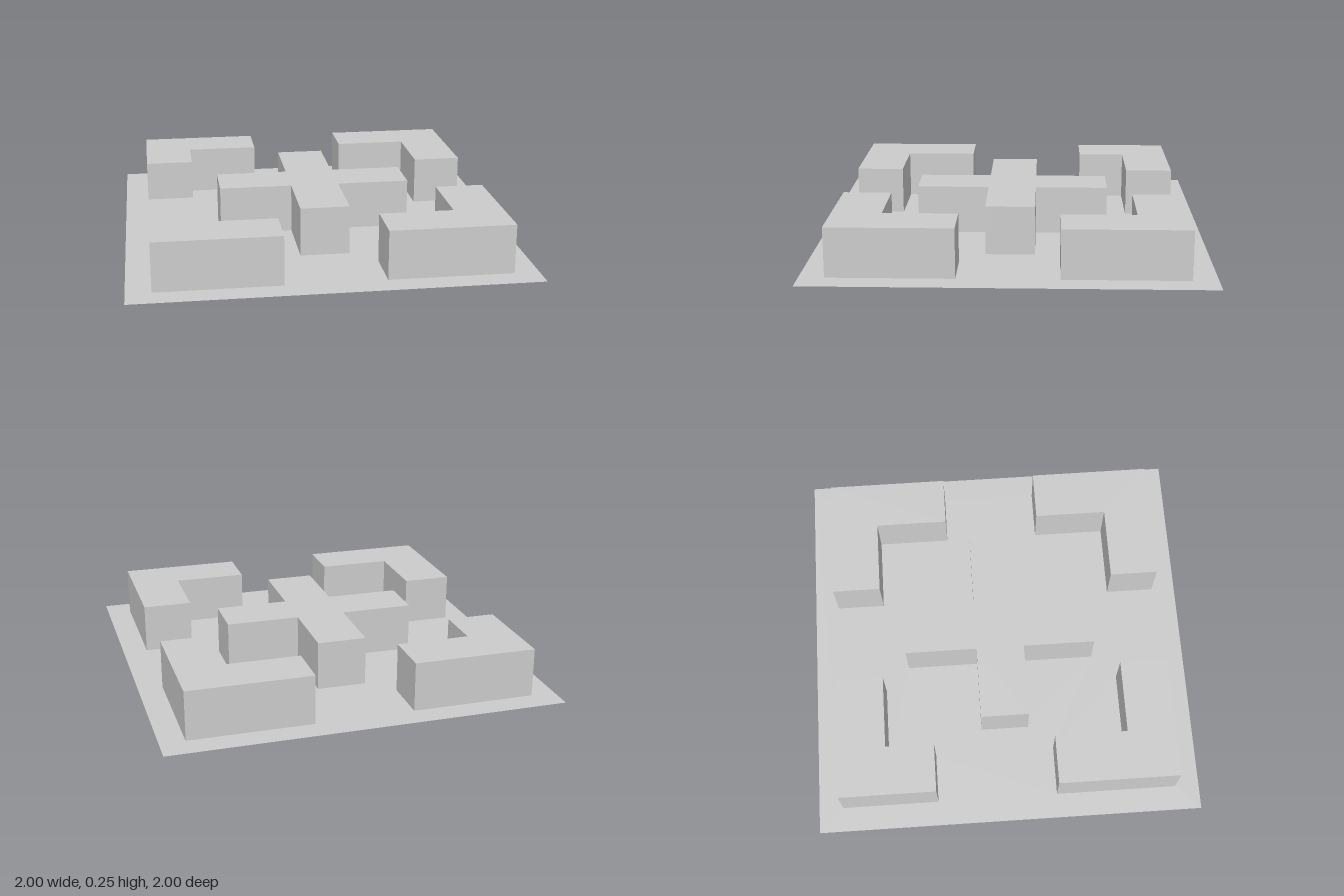
import * as THREE from 'three';
import { mergeGeometries } from 'three/addons/utils/BufferGeometryUtils.js';

const HEIGHT = 0.25;
const material = new THREE.MeshStandardMaterial({ color: 0xcccccc, side: THREE.DoubleSide, flatShading: true });

// Plan points are (x, -z), turned counter-clockwise so walls face outwards.
function plan(pairs) {
  const points = pairs.map(([x, z]) => new THREE.Vector2(x, -z));
  return THREE.ShapeUtils.isClockWise(points) ? points.reverse() : points;
}

// L-shaped plan in the corner (sx, sz); each arm runs from the outer corner to endX or endZ.
function cornerPlan(sx, sz, endX, endZ) {
  const outer = 0.875, inner = 0.625;
  return plan([
    [outer, outer], [endX, outer], [endX, inner],
    [inner, inner], [inner, endZ], [outer, endZ],
  ].map(([x, z]) => [x * sx, z * sz]));
}

// Plus-shaped plan, one arm per quarter turn.
function crossPlan(reach, half) {
  const pairs = [];
  for (let i = 0; i < 4; i++) {
    const c = Math.round(Math.cos(i * Math.PI / 2));
    const s = Math.round(Math.sin(i * Math.PI / 2));
    for (const [x, z] of [[reach, -half], [reach, half], [half, half]]) {
      pairs.push([x * c - z * s, x * s + z * c]);
    }
  }
  return plan(pairs);
}

// Hollow block: a roof and one wall per edge, open underneath.
function createBlock(name, points) {
  const block = new THREE.Group();
  block.name = name;

  const roof = new THREE.Mesh(new THREE.ShapeGeometry(new THREE.Shape(points)), material);
  roof.name = name + 'Roof';
  roof.rotation.x = -Math.PI / 2;
  roof.position.y = HEIGHT;

  const panels = points.map((a, i) => {
    const b = points[(i + 1) % points.length];
    const panel = new THREE.PlaneGeometry(a.distanceTo(b), HEIGHT);
    panel.rotateY(Math.atan2(b.y - a.y, b.x - a.x));
    return panel.translate((a.x + b.x) / 2, HEIGHT / 2, -(a.y + b.y) / 2);
  });
  const walls = new THREE.Mesh(mergeGeometries(panels), material);
  walls.name = name + 'Walls';

  block.add(roof, walls);
  return block;
}

export function createModel() {
  const model = new THREE.Group();
  model.name = 'blockCourtyard';

  const plans = {
    centerCross: crossPlan(0.5, 0.125),
    frontLeftCorner: cornerPlan(1, 1, 0.25, 0.25),
    frontRightCorner: cornerPlan(-1, 1, 0.25, 0.25),
    backLeftCorner: cornerPlan(1, -1, 0.25, 0.25),
    backRightCorner: cornerPlan(-1, -1, 0.25, 0.375), // one shorter arm
  };

  // Thin floor with an opening under every block
  const floorShape = new THREE.Shape(plan([[-1, -1], [1, -1], [1, 1], [-1, 1]]));
  for (const points of Object.values(plans)) floorShape.holes.push(new THREE.Path(points));
  const floor = new THREE.Mesh(new THREE.ShapeGeometry(floorShape), material);
  floor.name = 'floor';
  floor.rotation.x = -Math.PI / 2;
  model.add(floor);

  for (const [name, points] of Object.entries(plans)) model.add(createBlock(name, points));
  return model;
}
